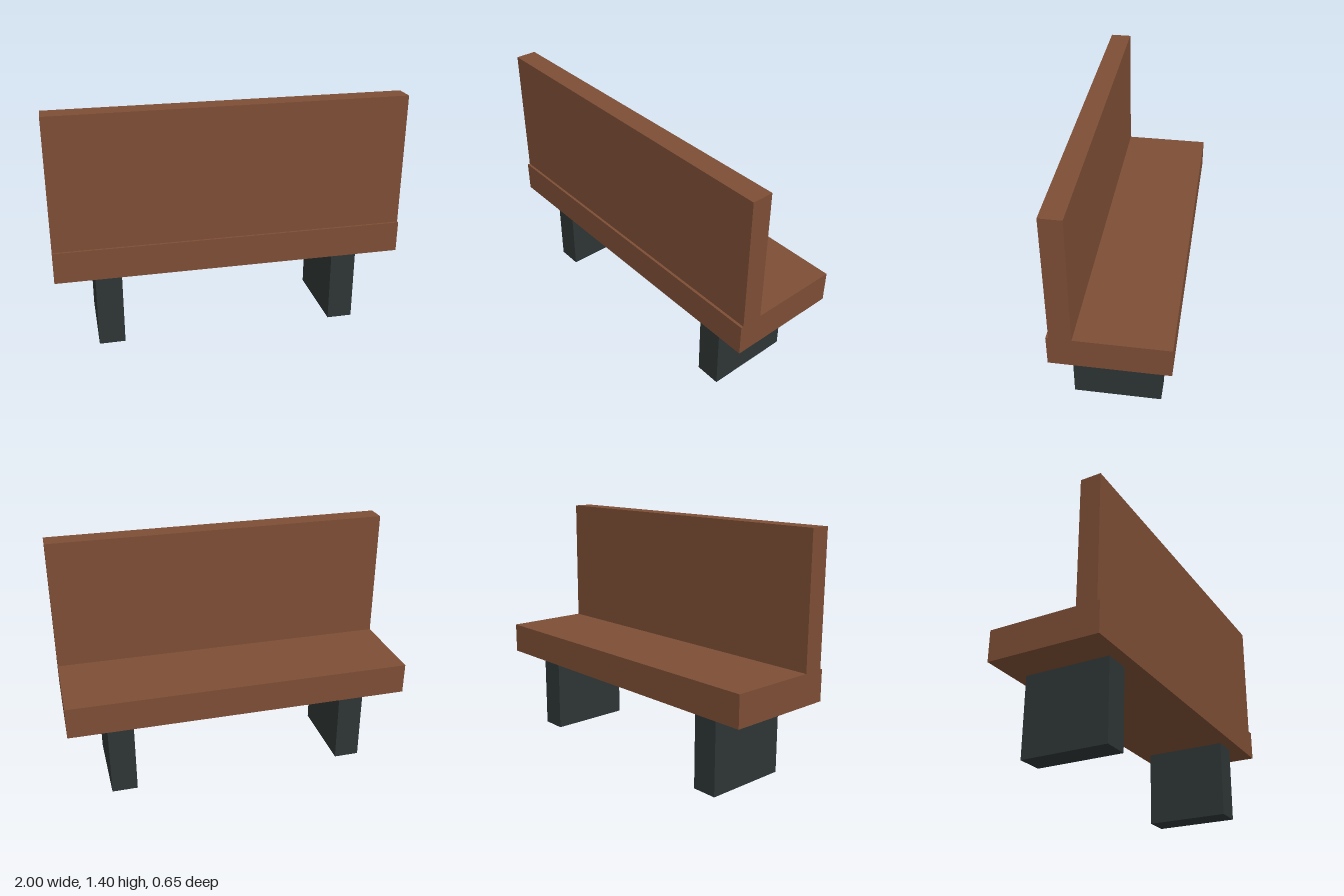
import * as THREE from 'three';

const wood = new THREE.MeshStandardMaterial({ color: 0x7c4d35 });
wood.name = 'brown wood';
const iron = new THREE.MeshStandardMaterial({ color: 0x2d3534 });
iron.name = 'dark iron';

// Box given by its size, base height and centre in x and z
function block(name, material, [w, h, d], [x, base, z]) {
  const mesh = new THREE.Mesh(new THREE.BoxGeometry(w, h, d), material);
  mesh.name = name;
  mesh.position.set(x, base + h / 2, z);
  return mesh;
}

export function createModel() {
  const bench = new THREE.Group();
  bench.name = 'bench';

  // Thick seat slab with an upright backrest along its +z edge
  bench.add(block('seat', wood, [2, 0.18, 0.65], [0, 0.46, 0]));
  bench.add(block('backrest', wood, [2, 0.76, 0.12], [0, 0.64, 0.25]));

  // Two slab legs
  for (const [name, side] of [['leftLeg', 1], ['rightLeg', -1]]) {
    bench.add(block(name, iron, [0.15, 0.46, 0.5], [side * 0.7, 0, 0]));
  }
  return bench;
}
